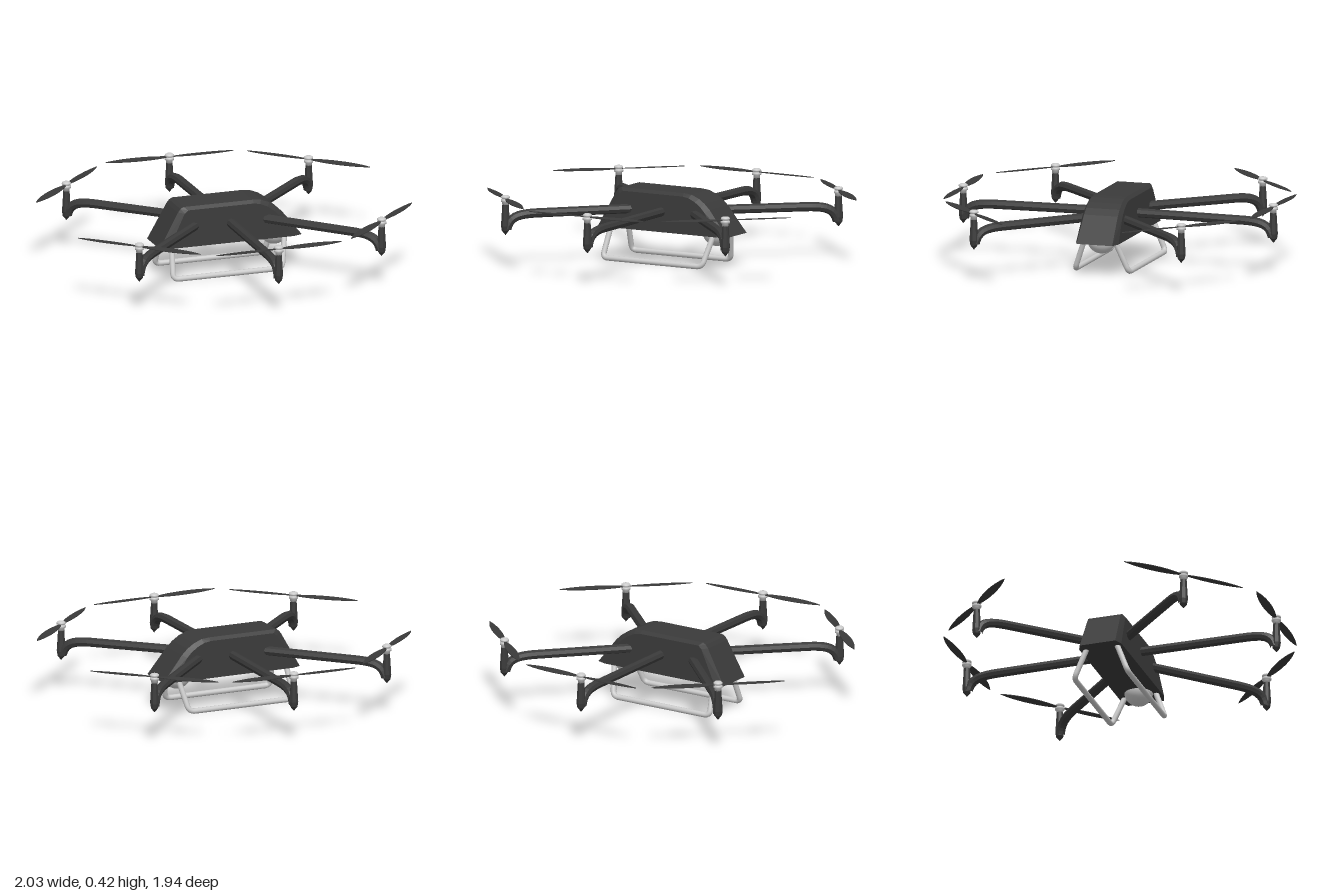
import * as THREE from 'three';
import { ConvexGeometry } from 'three/addons/geometries/ConvexGeometry.js';

const dark = new THREE.MeshStandardMaterial({ color: 0x3a3a3a, flatShading: true });
const bladeMat = new THREE.MeshStandardMaterial({ color: 0x3a3a3a, side: THREE.DoubleSide });
const grey = new THREE.MeshStandardMaterial({ color: 0xcccccc });

function add(parent, name, geometry, material) {
  const mesh = new THREE.Mesh(geometry, material);
  mesh.name = name;
  parent.add(mesh);
  return mesh;
}

const lathe = (points, sides) =>
  new THREE.LatheGeometry(points.map(([r, y]) => new THREE.Vector2(r, y)), sides);

// Chamfered hull: a narrow full outline plus a wider, slightly smaller one
function hullGeometry() {
  const outer = [[-0.43, 0.195], [-0.315, 0.4], [-0.3, 0.42], [-0.28, 0.43], [0.14, 0.43],
    [0.19, 0.425], [0.24, 0.405], [0.28, 0.378], [0.315, 0.345], [0.435, 0.195]];
  const inner = [[-0.38, 0.195], [-0.28, 0.395], [-0.26, 0.412], [0.14, 0.412],
    [0.18, 0.405], [0.225, 0.385], [0.265, 0.355], [0.29, 0.33], [0.38, 0.195]];
  const points = [];
  for (const s of [-1, 1]) {
    for (const [x, y] of outer) points.push(new THREE.Vector3(x, y, s * (0.108 - (y - 0.195) * 0.04)));
    for (const [x, y] of inner) points.push(new THREE.Vector3(x, y, s * (0.128 - (y - 0.195) * 0.055)));
  }
  return new ConvexGeometry(points);
}

// Leaf-shaped blade lying flat along +z
function bladeGeometry(side) {
  const shape = new THREE.Shape();
  shape.moveTo(0.01, 0.004 * side);
  shape.bezierCurveTo(0.1, 0.033 * side, 0.27, 0.045 * side, 0.386, 0.01 * side);
  shape.bezierCurveTo(0.28, -0.025 * side, 0.1, -0.03 * side, 0.01, -0.004 * side);
  const g = new THREE.ExtrudeGeometry(shape, { depth: 0.004, bevelEnabled: false, curveSegments: 12 });
  g.translate(0, 0, -0.002);
  g.rotateX(-Math.PI / 2 + 0.1 * side);
  g.rotateY(-Math.PI / 2);
  return g.scale(-1, 1, 1).rotateZ(0);
}

// Arm with its motor and rotor; the motor axis is the local origin, +x points outward
function rotorArm(x, z, length, side) {
  const arm = new THREE.Group();
  arm.name = 'rotorArm';
  arm.position.set(x, 0, z);
  arm.rotation.y = -Math.atan2(z, x);

  const path = new THREE.CurvePath();
  const v = (px, py) => new THREE.Vector3(px, py, 0);
  path.add(new THREE.LineCurve3(v(-length, 0.312), v(-0.17, 0.307)));
  path.add(new THREE.CubicBezierCurve3(v(-0.17, 0.307), v(-0.07, 0.303), v(-0.025, 0.29), v(-0.008, 0.22)));
  add(arm, 'armBeam', new THREE.TubeGeometry(path, 40, 0.027, 8), dark);

  add(arm, 'motorPost', lathe([[0, 0.185], [0.022, 0.212], [0.027, 0.24], [0.019, 0.365], [0, 0.365]], 8), dark);
  add(arm, 'motor', lathe([[0, 0.36], [0.019, 0.362], [0.019, 0.378], [0.027, 0.38], [0.027, 0.392],
    [0.021, 0.394], [0.021, 0.4], [0.027, 0.402], [0.026, 0.41], [0.018, 0.416], [0, 0.418]], 20), grey);

  for (const turn of [0, Math.PI]) {
    const blade = add(arm, 'rotorBlade', bladeGeometry(side), bladeMat);
    blade.position.y = 0.397;
    blade.rotation.y = turn;
  }
  return arm;
}

// Skid: rounded wire bent from four corners, splayed outward
function skidGeometry(side) {
  const z = y => side * (0.163 - (y - 0.02) * 0.385);
  const c = [[-0.35, 0.215], [-0.367, 0.022], [0.297, 0.022], [0.338, 0.215]]
    .map(([x, y]) => new THREE.Vector3(x, y, z(y)));
  const toward = (a, b, d) => a.clone().add(b.clone().sub(a).setLength(d));
  const path = new THREE.CurvePath();
  let last = c[0];
  for (const i of [1, 2]) {
    const before = toward(c[i], c[i - 1], 0.035);
    const after = toward(c[i], c[i + 1], 0.035);
    path.add(new THREE.LineCurve3(last, before));
    path.add(new THREE.QuadraticBezierCurve3(before, c[i], after));
    last = after;
  }
  path.add(new THREE.LineCurve3(last, c[3]));
  return new THREE.TubeGeometry(path, 120, 0.016, 12);
}

export function createModel() {
  const model = new THREE.Group();
  model.name = 'hexacopter';

  add(model, 'body', hullGeometry(), dark);

  // Six arms: x, z, length, blade handedness
  const arms = [
    [0, -0.938, 0.9, 1], [0, 0.938, 0.9, -1],
    [0.737, -0.627, 0.82, -1], [0.737, 0.627, 0.82, 1],
    [-0.737, -0.627, 0.82, 1], [-0.737, 0.627, 0.82, -1],
  ];
  for (const [x, z, length, side] of arms) {
    const arm = rotorArm(x, z, length, side);
    if (x !== 0) arm.rotation.y = -Math.atan2(Math.sign(z), Math.sign(x));
    model.add(arm);
  }

  // Camera dome under the nose
  const dome = add(model, 'cameraDome', new THREE.SphereGeometry(0.083, 32, 20), grey);
  dome.position.set(0.302, 0.206, 0);

  for (const side of [-1, 1]) add(model, 'landingSkid', skidGeometry(side), grey);
  return model;
}
